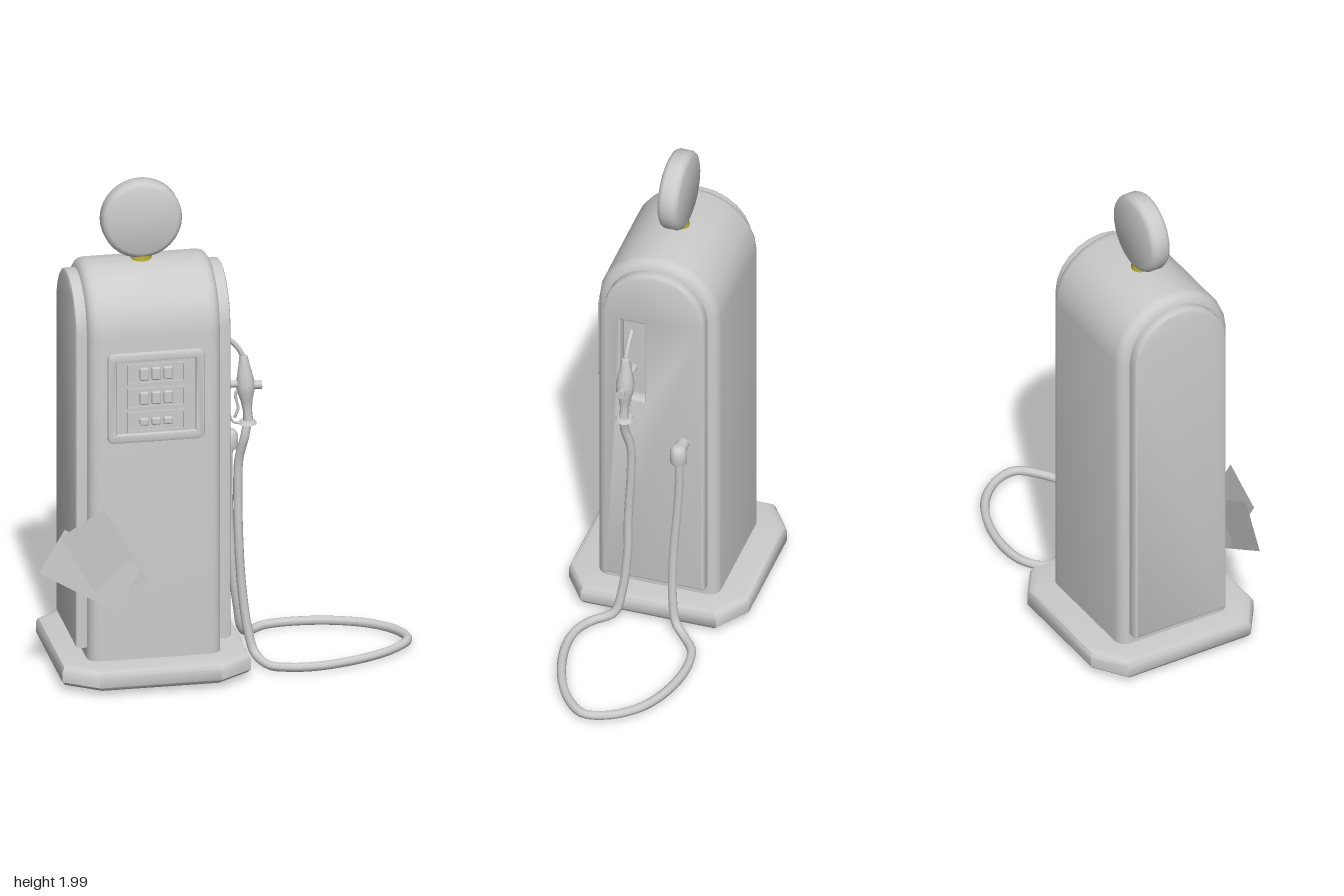
import * as THREE from 'three';
import { toCreasedNormals } from 'three/addons/utils/BufferGeometryUtils.js';
import { RoundedBoxGeometry } from 'three/addons/geometries/RoundedBoxGeometry.js';

const grey = new THREE.MeshStandardMaterial({ color: 0xcccccc, side: THREE.DoubleSide });
const olive = new THREE.MeshStandardMaterial({ color: 0xb0a830 });
const CX = -0.295; // middle of the cabinet
const SPRING = 1.44; // height where the arch begins

const V = (x, y, z) => new THREE.Vector3(x, y, z);

function add(parent, name, geometry, x = 0, y = 0, z = 0, material = grey) {
  const mesh = new THREE.Mesh(geometry, material);
  mesh.name = name;
  mesh.position.set(x, y, z);
  parent.add(mesh);
  return mesh;
}

// Skin over cross-sections of equal point count
function loft(loops, closed) {
  const n = loops[0].length, index = [];
  for (let i = 0; i < loops.length - 1; i++) {
    for (let j = 0; j < (closed ? n : n - 1); j++) {
      const a = i * n + j, b = i * n + (j + 1) % n;
      index.push(a, a + n, b, b, a + n, b + n);
    }
  }
  const g = new THREE.BufferGeometry().setFromPoints(loops.flat());
  g.setIndex(index);
  return toCreasedNormals(g, 0.75);
}

// Round-topped outline as [sideways, up] pairs
function arch(half, top, bottom) {
  const pts = [new THREE.Vector2(-half, bottom)];
  for (let i = 0; i <= 12; i++) {
    const a = Math.PI * (1 - i / 12);
    pts.push(new THREE.Vector2(half * Math.cos(a), SPRING + (top - SPRING) * Math.sin(a)));
  }
  pts.push(new THREE.Vector2(half, bottom));
  return pts;
}

function rectPath(x0, y0, x1, y1) {
  return new THREE.Path([[x0, y0], [x1, y0], [x1, y1], [x0, y1]].map(p => new THREE.Vector2(...p)));
}

function tube(points, radius, segments, sides = 8) {
  return new THREE.TubeGeometry(new THREE.CatmullRomCurve3(points.map(p => V(...p))), segments, radius, sides);
}

function lathe(points, sides) {
  return toCreasedNormals(new THREE.LatheGeometry(points.map(p => new THREE.Vector2(...p)), sides), 0.75);
}

function makeBase(parent) {
  const ring = ([d, y]) => {
    const hx = 0.37 - d, hz = 0.365 - d, cx = 0.13, cz = 0.09;
    return [[hx, cz - hz], [hx, hz - cz], [hx - cx, hz], [cx - hx, hz],
      [-hx, hz - cz], [-hx, cz - hz], [cx - hx, -hz], [hx - cx, -hz]].map(([x, z]) => V(x, y, z));
  };
  const steps = [[0.012, 0.03], [0, 0.045], [0, 0.088], [0.008, 0.104], [0.025, 0.11], [0.15, 0.11]];
  add(parent, 'base', loft(steps.map(ring), true), CX, 0, 0);
}

function makeCabinet(parent) {
  // shell with rounded ends, open underneath
  const half = 0.262, r = 0.045, loops = [];
  for (const side of [-1, 1]) {
    for (let i = 0; i <= 4; i++) {
      const a = (side < 0 ? i : 4 - i) / 4 * Math.PI / 2;
      const inset = r * (1 - Math.sin(a));
      const x = side * (half - r + r * Math.cos(a));
      loops.push(arch(0.246 - inset, 1.68 - inset, 0.105).map(p => V(x, p.y, -p.x)));
    }
  }
  add(parent, 'cabinet', loft(loops, false), CX, 0, 0);

  const end = new THREE.ShapeGeometry(new THREE.Shape(arch(0.246 - r, 1.68 - r, 0.105)));
  for (const side of [-1, 1]) {
    add(parent, 'cabinetEnd', end, CX + side * half, 0, 0).rotation.y = side * Math.PI / 2;

    // raised side panel; the one on the hose side has the nozzle recess
    const shape = new THREE.Shape(arch(0.205, 1.642, 0.155));
    if (side > 0) shape.holes.push(rectPath(-0.135, 1.03, -0.04, 1.4));
    const panel = new THREE.ExtrudeGeometry(shape, {
      depth: 0.03, bevelThickness: 0.013, bevelSize: 0.01, bevelOffset: -0.01, bevelSegments: 2,
    });
    const mesh = add(parent, 'sidePanel', toCreasedNormals(panel, 0.6), CX + side * half, 0, 0);
    mesh.rotation.y = side * Math.PI / 2;
  }
}

function makeSign(parent) {
  const disc = lathe([[0, -0.043], [0.135, -0.043], [0.15, -0.036], [0.158, -0.022],
    [0.158, 0.022], [0.15, 0.036], [0.135, 0.043], [0, 0.043]], 32).rotateX(Math.PI / 2);
  add(parent, 'roundSign', disc, -0.305, 1.842, 0);
  add(parent, 'signNeck', new THREE.CylinderGeometry(0.035, 0.045, 0.04, 16), -0.305, 1.685, 0, olive);
}

function makeDisplay(parent) {
  const display = new THREE.Group();
  display.name = 'display';
  display.position.set(-0.293, 1.197, 0.245);
  parent.add(display);
  const frame = new THREE.Shape();
  const w = 0.183, h = 0.177, c = 0.02;
  frame.moveTo(-w + c, -h).lineTo(w - c, -h).quadraticCurveTo(w, -h, w, -h + c)
    .lineTo(w, h - c).quadraticCurveTo(w, h, w - c, h)
    .lineTo(c - w, h).quadraticCurveTo(-w, h, -w, h - c)
    .lineTo(-w, c - h).quadraticCurveTo(-w, -h, c - w, -h);
  frame.holes.push(rectPath(-0.163, -0.157, 0.163, 0.157));
  const frameGeo = new THREE.ExtrudeGeometry(frame, {
    depth: 0.012, bevelThickness: 0.008, bevelSize: 0.008, bevelSegments: 2, curveSegments: 4,
  });
  add(display, 'displayFrame', toCreasedNormals(frameGeo, 0.6));
  add(display, 'displayFace', new THREE.BoxGeometry(0.33, 0.32, 0.012));
  // three windows, each with three counter drums
  [0.095, -0.005, -0.102].forEach((y, row) => {
    const rim = new THREE.Shape(rectPath(-0.114, -0.042, 0.114, 0.042).getPoints());
    rim.holes.push(rectPath(-0.106, -0.034, 0.106, 0.034));
    add(display, 'windowRim', new THREE.ExtrudeGeometry(rim, { depth: 0.008, bevelEnabled: false }), 0, y, 0.004);
    const tall = row < 2 ? 0.052 : 0.03;
    for (let i = -1; i <= 1; i++) {
      add(display, 'counterDrum', new RoundedBoxGeometry(0.036, tall, 0.02, 2, 0.007), i * 0.047, y, 0.008);
    }
  });
}

function makeNozzle(parent) {
  const nozzle = new THREE.Group();
  nozzle.name = 'nozzle';
  nozzle.position.set(0, 0, 0.09);
  parent.add(nozzle);
  const body = lathe([[0, 0], [0.02, 0], [0.018, 0.05], [0.024, 0.09], [0.035, 0.13], [0.037, 0.16],
    [0.03, 0.2], [0.022, 0.24], [0.016, 0.275], [0, 0.28]], 12);
  add(nozzle, 'nozzleBody', body, 0.1, 1.0, 0).rotation.z = 0.07;
  add(nozzle, 'nozzleSpout', tube([[0.083, 1.26, 0], [0.068, 1.295, 0], [0.042, 1.33, 0], [0.005, 1.36, 0]], 0.01, 10));
  add(nozzle, 'nozzleCollar', new THREE.CylinderGeometry(0.028, 0.037, 0.014, 12), 0.097, 1.0, 0);
  add(nozzle, 'nozzleKnob', new THREE.CylinderGeometry(0.015, 0.018, 0.03, 10).rotateZ(Math.PI / 2), 0.137, 1.15, 0);
  // hand lever and its guard
  add(nozzle, 'leverGuard', tube([[0.09, 1.005, 0], [0.045, 1.0, 0], [0.025, 1.04, 0], [0.022, 1.11, 0], [0.035, 1.16, 0], [0.08, 1.18, 0]], 0.005, 20, 6));
  add(nozzle, 'lever', tube([[0.08, 1.15, 0], [0.05, 1.12, 0], [0.06, 1.06, 0], [0.045, 1.02, 0]], 0.006, 12, 6));
  add(nozzle, 'hangerPeg', new THREE.CylinderGeometry(0.014, 0.014, 0.1, 10).rotateZ(Math.PI / 2), 0.025, 1.16, 0);
}

function makeHose(parent) {
  const path = [[0.097, 1.0, 0.09], [0.085, 0.94, 0.095], [0.066, 0.84, 0.075], [0.062, 0.7, 0.075],
    [0.064, 0.5, 0.085], [0.075, 0.32, 0.085], [0.095, 0.15, 0.1], [0.118, 0.055, 0.125],
    [0.16, 0.028, 0.2], [0.23, 0.028, 0.238], [0.34, 0.028, 0.248], [0.52, 0.03, 0.208],
    [0.66, 0.032, 0.135], [0.735, 0.035, 0.05], [0.715, 0.035, -0.045], [0.63, 0.032, -0.145],
    [0.5, 0.03, -0.21], [0.34, 0.028, -0.238], [0.22, 0.028, -0.222], [0.15, 0.03, -0.17],
    [0.115, 0.06, -0.125], [0.095, 0.16, -0.105], [0.073, 0.35, -0.1], [0.062, 0.55, -0.112],
    [0.06, 0.7, -0.12], [0.062, 0.84, -0.12]];
  add(parent, 'hose', tube(path, 0.018, 150));
  // outlet elbow on the side panel
  add(parent, 'hoseOutlet', new THREE.CylinderGeometry(0.024, 0.03, 0.07, 12).rotateZ(Math.PI / 2), 0.035, 0.862, -0.12);
  add(parent, 'hoseCoupling', lathe([[0, -0.04], [0.031, -0.04], [0.034, -0.025], [0.034, 0.01],
    [0.027, 0.03], [0.015, 0.038], [0, 0.038]], 12), 0.067, 0.852, -0.12);
}

// Two thin sheets hanging at the front corner
function makeCards(parent) {
  const sheet = new THREE.PlaneGeometry(0.2, 0.348);
  const upper = add(parent, 'upperCard', sheet, -0.503, 0.55, 0.275);
  upper.rotation.set(0.03, 0.03, 0.525);
  const lower = add(parent, 'lowerCard', sheet, -0.555, 0.498, 0.268);
  lower.rotation.set(-0.03, -0.03, 1.04);
}

export function createModel() {
  const model = new THREE.Group();
  model.name = 'fuelPump';
  for (const make of [makeBase, makeCabinet, makeSign, makeDisplay, makeNozzle, makeHose, makeCards]) make(model);
  return model;
}
